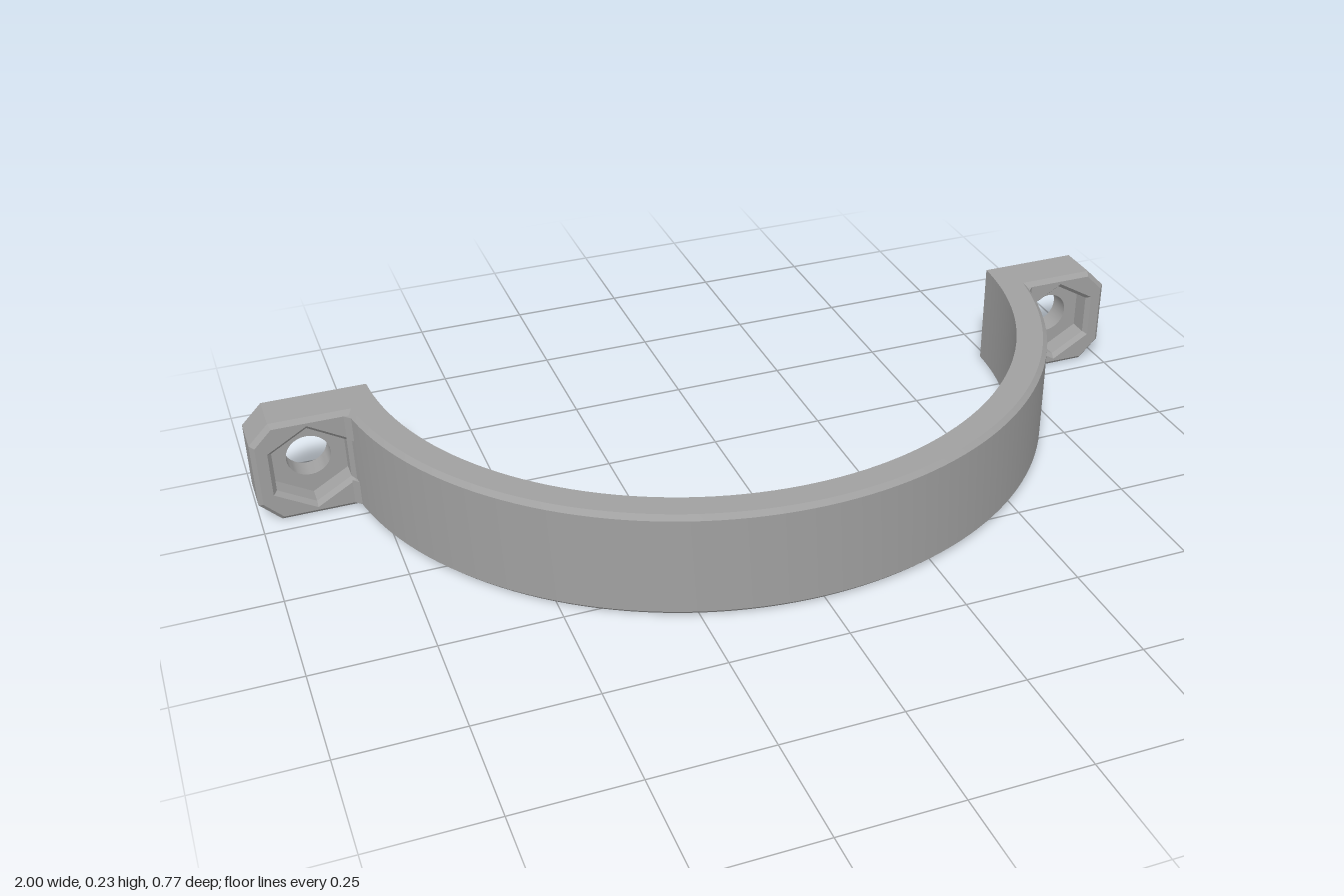
import * as THREE from 'three';
import { mergeGeometries, toCreasedNormals } from 'three/addons/utils/BufferGeometryUtils.js';

const H = 0.233;        // height of the clamp
const BEVEL = 0.01;
const CENTRE_Z = -0.421; // centre of the arc
const R_IN = 0.736, R_OUT = 0.804;
const BACK = -0.385, FRONT = -0.285, FLOOR = -0.335;
const HOLE = [0.88, H / 2];

const v2 = (x, y) => new THREE.Vector2(x, y);

// Regular polygon with a corner at the top, counter-clockwise
function ring(radius, sides) {
  return Array.from({ length: sides }, (_, i) => {
    const a = Math.PI / 2 + (i / sides) * Math.PI * 2;
    return v2(HOLE[0] + radius * Math.cos(a), HOLE[1] + radius * Math.sin(a));
  });
}

// Ear outline with cut outer corners
function earOutline(inset) {
  const c = inset * 0.414, lo = inset, hi = H - inset, x = 1 - inset;
  return [v2(0.736, lo), v2(0.956 - c, lo), v2(x, 0.044 + c),
    v2(x, H - 0.044 - c), v2(0.956 - c, hi), v2(0.736, hi)];
}

// Wall between two matching rings; back to front faces out, front to back faces in
function wall(a, za, b, zb) {
  const pos = [];
  a.forEach((p, i) => {
    const j = (i + 1) % a.length, q = a[j], r = b[j], s = b[i];
    pos.push(p.x, p.y, za, q.x, q.y, za, r.x, r.y, zb);
    pos.push(p.x, p.y, za, r.x, r.y, zb, s.x, s.y, zb);
  });
  const g = new THREE.BufferGeometry();
  g.setAttribute('position', new THREE.Float32BufferAttribute(pos, 3));
  return g;
}

// Flat face with a hole
function face(outline, hole, z, flip = false) {
  const shape = new THREE.Shape(outline);
  shape.holes.push(new THREE.Path(hole));
  const g = new THREE.ShapeGeometry(shape).translate(0, 0, z);
  if (flip) g.setIndex(Array.from(g.index.array).reverse());
  g.deleteAttribute('uv');
  g.deleteAttribute('normal');
  return g.toNonIndexed();
}

function earGeometry() {
  const outer = earOutline(0), inner = earOutline(BEVEL);
  const mouth = ring(0.1, 6), pocket = ring(0.09, 6), bore = ring(0.047, 32);
  const g = mergeGeometries([
    face(outer, bore, BACK, true),
    wall(outer, BACK, outer, FRONT - BEVEL),
    wall(outer, FRONT - BEVEL, inner, FRONT),
    face(inner, mouth, FRONT),
    wall(mouth, FRONT, pocket, FRONT - BEVEL),
    wall(pocket, FRONT - BEVEL, pocket, FLOOR),
    face(pocket, bore, FLOOR),
    wall(bore, FLOOR, bore, BACK),
  ]);
  g.computeVertexNormals();
  return toCreasedNormals(g, 0.4);
}

// Half-ring with bevelled outer edges
function bandGeometry() {
  const theta = Math.acos((BACK - CENTRE_Z) / R_IN);
  const profile = [v2(R_IN, 0), v2(R_OUT - BEVEL, 0), v2(R_OUT, BEVEL),
    v2(R_OUT, H - BEVEL), v2(R_OUT - BEVEL, H), v2(R_IN, H), v2(R_IN, 0)];
  const g = new THREE.LatheGeometry(profile, 80, -theta, 2 * theta);
  return toCreasedNormals(g.translate(0, 0, CENTRE_Z), 0.4);
}

// Small wedge in the corner between band and ear
function wedgeGeometry(y0, y1) {
  const shape = new THREE.Shape([v2(0.78, 0.285), v2(0.803, 0.285), v2(0.788, 0.27)]);
  const g = new THREE.ExtrudeGeometry(shape, { depth: y1 - y0, bevelEnabled: false });
  return g.rotateX(-Math.PI / 2).translate(0, y0, 0);
}

export function createModel() {
  const grey = new THREE.MeshStandardMaterial({ color: 0xa0a0a0 });
  grey.name = 'grey';
  const model = new THREE.Group();
  model.name = 'halfClamp';
  const add = (parent, name, geometry) => {
    const mesh = new THREE.Mesh(geometry, grey);
    mesh.name = name;
    parent.add(mesh);
  };

  add(model, 'band', bandGeometry());

  // The ear is symmetric in height, so a half turn makes the opposite one
  for (const side of ['left', 'right']) {
    const ear = new THREE.Group();
    ear.name = side + 'Ear';
    add(ear, 'mountingEar', earGeometry());
    add(ear, 'lowerCornerWedge', wedgeGeometry(BEVEL, 0.066));
    add(ear, 'upperCornerWedge', wedgeGeometry(H - 0.066, H - BEVEL));
    if (side === 'right') {
      ear.rotation.z = Math.PI;
      ear.position.y = H;
    }
    model.add(ear);
  }
  return model;
}
